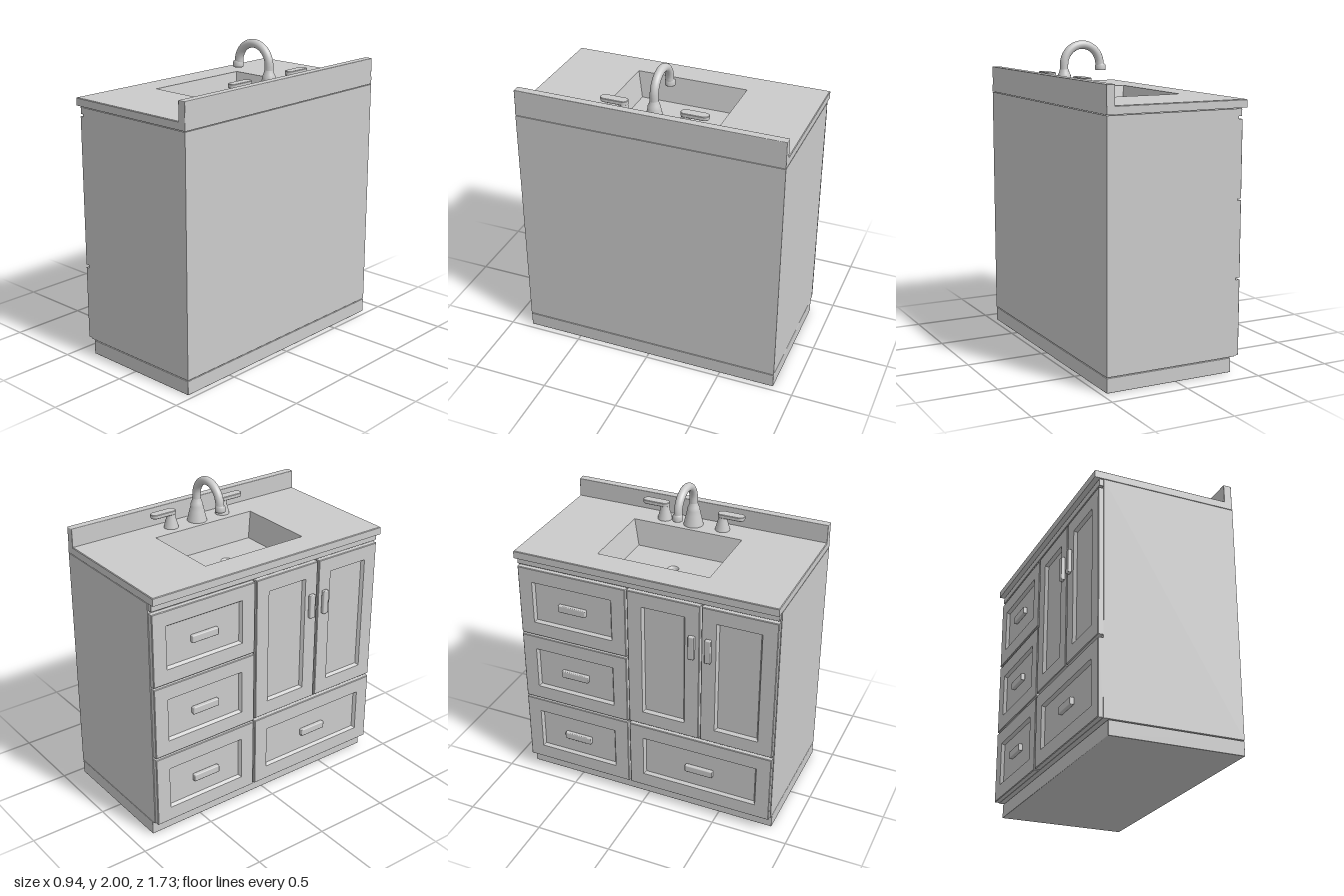
import * as THREE from 'three';
import { RoundedBoxGeometry } from 'three/addons/geometries/RoundedBoxGeometry.js';

const grey = new THREE.MeshStandardMaterial({ color: 0xcccccc });
const thin = new THREE.MeshStandardMaterial({ color: 0xcccccc, side: THREE.DoubleSide });

function add(parent, name, geometry, x = 0, y = 0, z = 0, material = grey) {
  const mesh = new THREE.Mesh(geometry, material);
  mesh.name = name;
  mesh.position.set(x, y, z);
  parent.add(mesh);
  return mesh;
}

// Box given by its limits
function block(parent, name, [x0, x1], [y0, y1], [z0, z1], r = 0.004) {
  const g = new RoundedBoxGeometry(x1 - x0, y1 - y0, z1 - z0, 1, r);
  return add(parent, name, g, (x0 + x1) / 2, (y0 + y1) / 2, (z0 + z1) / 2);
}

// Flat-faced skin through rectangular loops [u0, u1, v0, v1, w]
function rectLoft(loops, cap) {
  const pos = [];
  const corners = ([u0, u1, v0, v1, w]) => [[u0, v0, w], [u1, v0, w], [u1, v1, w], [u0, v1, w]];
  const quad = (a, b, c, d) => pos.push(...a, ...b, ...c, ...a, ...c, ...d);
  for (let k = 0; k + 1 < loops.length; k++) {
    const a = corners(loops[k]), b = corners(loops[k + 1]);
    for (let i = 0; i < 4; i++) {
      const j = (i + 1) % 4;
      quad(a[i], a[j], b[j], b[i]);
    }
  }
  if (cap) quad(...corners(loops[loops.length - 1]));
  const g = new THREE.BufferGeometry();
  g.setAttribute('position', new THREE.Float32BufferAttribute(pos, 3));
  g.computeVertexNormals();
  return g;
}

const lathe = (points, n = 32) =>
  new THREE.LatheGeometry(points.map(([r, y]) => new THREE.Vector2(r, y)), n);

function rectPath(path, x0, x1, y0, y1) {
  path.moveTo(x0, y0);
  path.lineTo(x1, y0);
  path.lineTo(x1, y1);
  path.lineTo(x0, y1);
  path.closePath();
  return path;
}

// Drawer or door front with a recessed panel, facing -x
function cabinetFront(parent, name, z0, z1, y0, y1) {
  const inset = (d, w) => [z0 + d, z1 - d, y0 + d, y1 - d, w];
  const g = rectLoft([
    inset(0, 0.41), inset(0, 0.441), inset(0.004, 0.445),
    inset(0.095, 0.445), inset(0.108, 0.425),
  ], true);
  g.rotateY(-Math.PI / 2);
  add(parent, name, g);
}

function createCabinet() {
  const cabinet = new THREE.Group();
  cabinet.name = 'cabinet';
  block(cabinet, 'toeKick', [-0.385, 0.465], [0, 0.092], [-0.865, 0.865]);

  // Hollow carcass leaves room for the basin
  const outline = rectPath(new THREE.Shape(), -0.412, 0.465, -0.865, 0.865);
  outline.holes.push(rectPath(new THREE.Path(), -0.36, 0.3, -0.8, 0.8));
  const shell = new THREE.ExtrudeGeometry(outline, { depth: 1.524, bevelEnabled: false });
  shell.rotateX(-Math.PI / 2);
  add(cabinet, 'carcass', shell, 0, 0.097, 0);
  block(cabinet, 'topRail', [-0.44, -0.41], [1.575, 1.622], [-0.86, 0.86]);

  // Three stacked drawers
  for (let i = 0; i < 3; i++) {
    const y = 0.1 + i * 0.49;
    cabinetFront(cabinet, 'drawerFront', -0.86, -0.12, y, y + 0.478);
    block(cabinet, 'drawerPull', [-0.453, -0.424], [y + 0.215, y + 0.263], [-0.585, -0.395], 0.006);
  }
  // Wide drawer below the doors
  cabinetFront(cabinet, 'wideDrawerFront', -0.108, 0.86, 0.1, 0.578);
  block(cabinet, 'drawerPull', [-0.453, -0.424], [0.315, 0.363], [0.281, 0.471], 0.006);
  // Pair of doors with upright pulls
  for (const [z0, z1, pull] of [[-0.108, 0.37, 0.322], [0.382, 0.86, 0.43]]) {
    cabinetFront(cabinet, 'door', z0, z1, 0.598, 1.56);
    block(cabinet, 'doorPull', [-0.47, -0.443], [1.19, 1.35], [pull - 0.02, pull + 0.02], 0.006);
  }
  return cabinet;
}

function createCountertop() {
  const top = new THREE.Group();
  top.name = 'countertop';
  const floorY = 1.505, drain = { x: 0.005, r: 0.036 };

  // Slab and sloping basin walls in one skin
  const hole = [-0.29, 0.235, -0.365, 0.375];
  const slab = rectLoft([
    [...hole, 1.625], [-0.47, 0.465, -0.865, 0.865, 1.625],
    [-0.47, 0.465, -0.865, 0.865, 1.671], [-0.466, 0.465, -0.861, 0.861, 1.675],
    [...hole, 1.675], [-0.26, 0.208, -0.33, 0.335, floorY],
  ], false);
  slab.rotateX(-Math.PI / 2);
  add(top, 'slabAndBasin', slab);

  const floor = rectPath(new THREE.Shape(), -0.26, 0.208, -0.33, 0.335);
  floor.holes.push(new THREE.Path().absarc(drain.x, 0, drain.r, 0, Math.PI * 2, true));
  const floorGeometry = new THREE.ShapeGeometry(floor, 24);
  floorGeometry.rotateX(-Math.PI / 2);
  add(top, 'basinFloor', floorGeometry, 0, floorY, 0, thin);
  add(top, 'drain', lathe([[0, -0.03], [0.024, -0.03], [0.026, -0.012], [drain.r, 0]], 24),
    drain.x, floorY, 0, thin);

  block(top, 'backsplash', [0.411, 0.465], [1.625, 1.796], [-0.865, 0.865], 0.005);
  return top;
}

function createFaucet() {
  const faucet = new THREE.Group();
  faucet.name = 'faucet';
  add(faucet, 'spoutBase', lathe([
    [0.064, 0], [0.062, 0.012], [0.048, 0.07], [0.041, 0.1],
    [0.041, 0.112], [0.034, 0.125], [0.027, 0.15],
  ]), 0.323, 1.675, 0);

  // Gooseneck: rise, half circle, short drop
  const path = new THREE.CurvePath();
  const arc = [];
  for (let i = 0; i <= 16; i++) {
    const a = (i / 16) * Math.PI;
    arc.push(new THREE.Vector3(0.2 + 0.124 * Math.cos(a), 1.85 + 0.124 * Math.sin(a), 0));
  }
  path.add(new THREE.LineCurve3(new THREE.Vector3(0.324, 1.77, 0), arc[0]));
  path.add(new THREE.CatmullRomCurve3(arc));
  path.add(new THREE.LineCurve3(arc[16], new THREE.Vector3(0.072, 1.82, 0)));
  add(faucet, 'spout', new THREE.TubeGeometry(path, 64, 0.0265, 20));
  add(faucet, 'nozzle', lathe([[0, 0], [0.031, 0], [0.033, 0.004], [0.033, 0.03], [0.026, 0.042]], 24),
    0.07, 1.812, 0);

  // Two lever handles pointing away from the spout
  for (const side of [-1, 1]) {
    const handle = new THREE.Group();
    handle.name = 'handle';
    handle.position.set(0.323, 1.675, side * 0.2);
    add(handle, 'handleBase', lathe([[0.047, 0], [0.046, 0.01], [0.032, 0.06], [0.027, 0.095]], 24));
    const lever = new THREE.Shape();
    lever.absarc(0, 0, 0.028, Math.PI, Math.PI * 2);
    lever.absarc(0, 0.118, 0.028, 0, Math.PI);
    const g = new THREE.ExtrudeGeometry(lever, {
      depth: 0.02, bevelThickness: 0.003, bevelSize: 0.003, bevelSegments: 1, curveSegments: 12,
    });
    g.rotateX(side * Math.PI / 2);
    add(handle, 'lever', g, 0, side > 0 ? 0.114 : 0.094, 0);
    faucet.add(handle);
  }
  return faucet;
}

export function createModel() {
  const model = new THREE.Group();
  model.name = 'bathroomVanity';
  model.add(createCabinet(), createCountertop(), createFaucet());
  return model;
}
